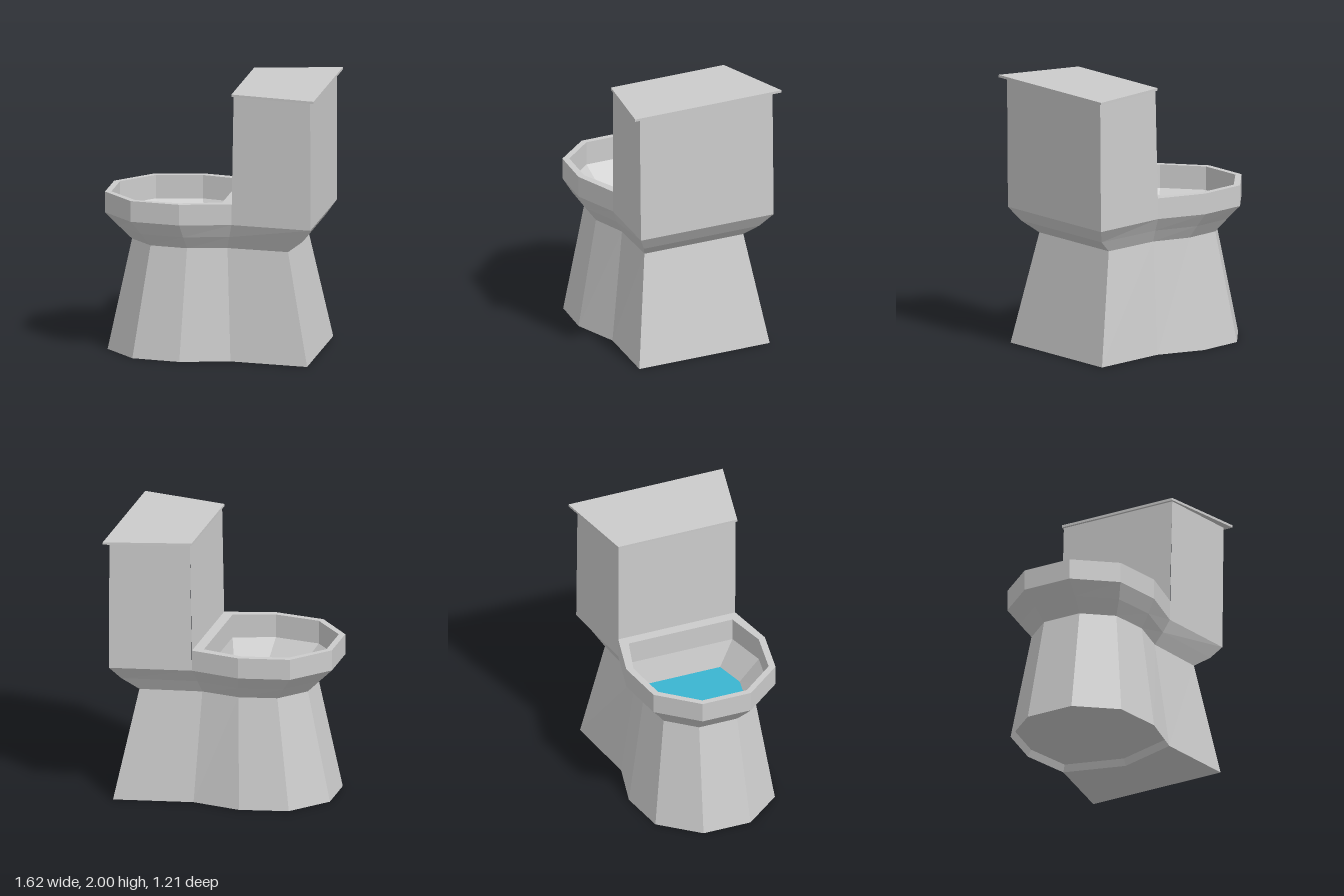
import * as THREE from 'three';

const grey = new THREE.MeshStandardMaterial({ color: 0xcccccc, flatShading: true });
const blue = new THREE.MeshStandardMaterial({ color: 0x3ab5d0, flatShading: true });

// Mirror half an outline (front to back, [x, z]) into a full ring at height y.
function ring(y, half, dz = -0.01) {
  const left = half.map(([x, z]) => [x, y, z + dz]);
  const right = half.map(([x, z]) => [x, y, -z + dz]).reverse();
  return [...left, ...right];
}

// Triangles joining two rings of equal length.
function strip(a, b, closed = true) {
  const out = [];
  const n = a.length;
  for (let i = 0; i < (closed ? n : n - 1); i++) {
    const j = (i + 1) % n;
    out.push(a[i], a[j], b[j], a[i], b[j], b[i]);
  }
  return out;
}

// Triangle fan over one ring.
function cap(r) {
  const out = [];
  for (let i = 1; i < r.length - 1; i++) out.push(r[0], r[i], r[i + 1]);
  return out;
}

const flip = (r) => [...r].reverse();

function part(name, triangles, material = grey) {
  const geometry = new THREE.BufferGeometry();
  geometry.setAttribute('position', new THREE.Float32BufferAttribute(triangles.flat(), 3));
  geometry.computeVertexNormals();
  const mesh = new THREE.Mesh(geometry, material);
  mesh.name = name;
  return mesh;
}

export function createModel() {
  const group = new THREE.Group();
  group.name = 'toilet';

  // Half outlines: four points round the bowl, the fourth at the waist, then the back corner
  const foot = [[-0.795, 0.185], [-0.56, 0.47], [-0.2, 0.535], [0.165, 0.45]];
  const rim = [[-0.815, 0.19], [-0.573, 0.48], [-0.2, 0.545], [0.172, 0.46]];
  const opening = [[-0.77, 0.175], [-0.55, 0.435], [-0.21, 0.493], [0.095, 0.408]];
  const pool = [[-0.58, 0.125], [-0.42, 0.313], [-0.175, 0.357], [0.05, 0.293]];

  // Pedestal
  const r0 = ring(0, [...foot, [0.75, 0.54]], 0);
  const r1 = ring(0.825, [[-0.62, 0.15], [-0.445, 0.36], [-0.165, 0.41], [0.125, 0.35], [0.585, 0.41]], 0);
  group.add(part('pedestal', strip(r0, r1)));

  // Underside: flat at the back, recessed under the bowl
  const notch = [0.3, 0, 0];
  group.add(part('baseBack', cap(flip([...r0.slice(3, 7), notch]))));
  const edge = [...r0.slice(0, 4), notch, ...r0.slice(6)];
  const floor = edge.map(([x, , z]) => [-0.2 + (x + 0.2) * 0.95, 0.05, z * 0.95]);
  group.add(part('baseRecess', [...strip(floor, edge), ...cap(flip(floor))]));

  // Flared underside of bowl and tank
  const r2 = ring(0.92, [[-0.715, 0.17], [-0.507, 0.42], [-0.183, 0.477], [0.148, 0.405], [0.705, 0.478]], 0);
  const r3 = [...ring(1.02, [...rim, [0.775, 0.55]])];
  group.add(part('flare', [...strip(r1, r2), ...strip(r2, r3)]));

  // Bowl: outer wall, rim, inner wall and slope down to the water
  const low = ring(1.02, rim);
  const top = ring(1.175, rim);
  const lip = ring(1.175, opening);
  const step = ring(1.0, opening);
  const surface = ring(0.81, pool);
  const outer = [...strip(low.slice(0, 4), top.slice(0, 4), false),
    ...strip(low.slice(4), top.slice(4), false), ...strip([low[7], low[0]], [top[7], top[0]], false)];
  group.add(part('bowlWall', outer));
  group.add(part('rim', strip(top, lip)));
  group.add(part('bowlInside', [...strip(lip, step), ...strip(step, surface)]));
  group.add(part('water', cap(surface), blue));

  // Tank: side and back walls, then the slightly leaning front
  const tankLow = r3.slice(3, 7);
  const tankTop = ring(1.98, [[0.19, 0.46], [0.775, 0.55]], 0);
  group.add(part('tankWalls', strip(tankLow, tankTop, false)));
  group.add(part('tankFront', strip([top[4], top[3]], [tankTop[3], tankTop[0]], false)));

  // Lid
  const lidHalf = [[0.175, 0.468], [0.81, 0.607]];
  const lidLow = ring(1.982, lidHalf, 0);
  const lidTop = ring(2, lidHalf, 0);
  group.add(part('tankLid', [...strip(lidLow, lidTop), ...cap(lidTop), ...cap(flip(lidLow))]));

  return group;
}
